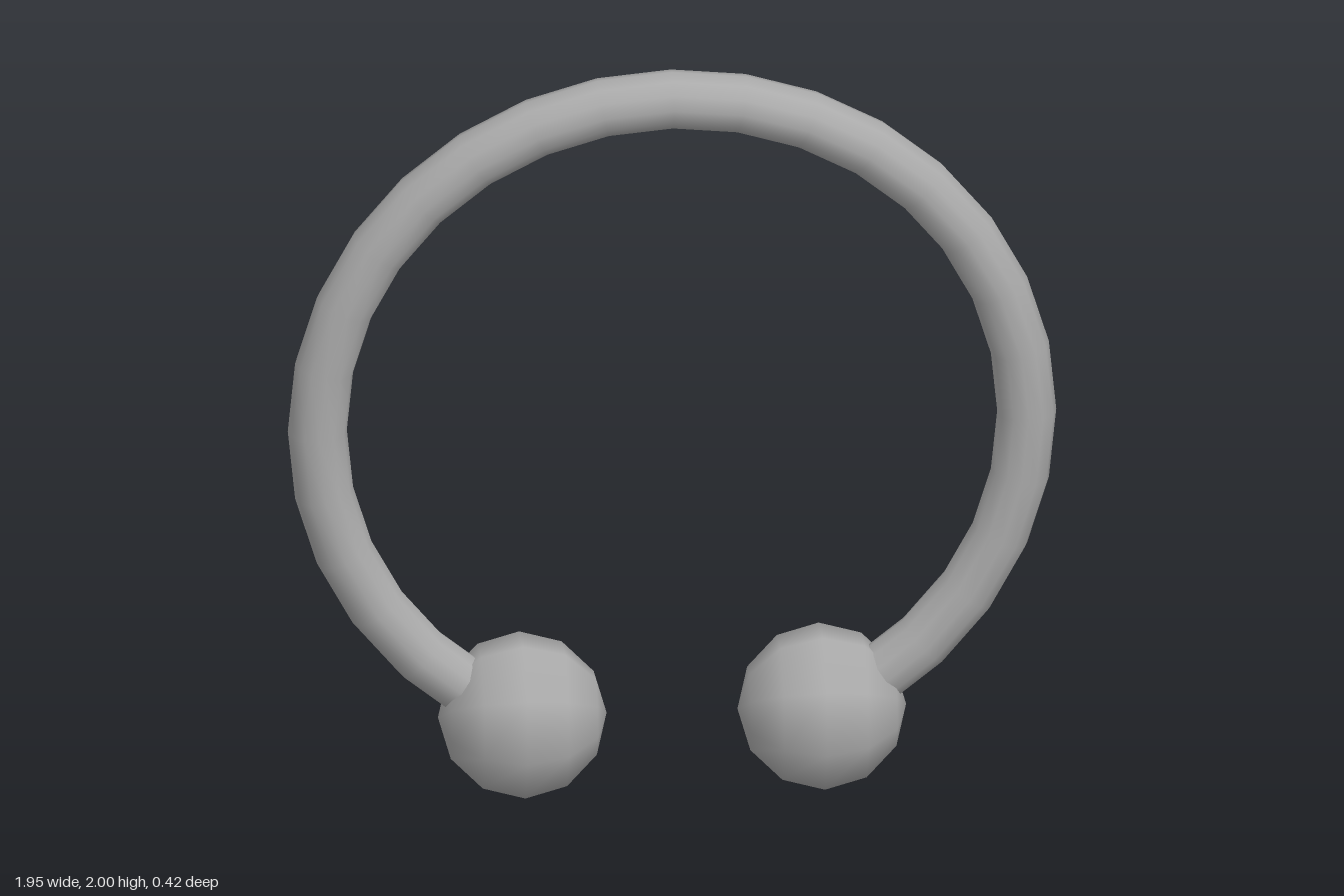
import * as THREE from 'three';

export function createModel() {
  const group = new THREE.Group();
  group.name = 'horseshoeRing';
  const grey = new THREE.MeshStandardMaterial({ color: 0xaaaaaa });
  grey.name = 'steelGrey';
  const step = Math.PI / 16;

  // Open ring: 28 of 32 segments, the gap at the bottom
  const ringGeometry = new THREE.TorusGeometry(0.9, 0.075, 12, 28, 28 * step);
  ringGeometry.rotateZ(-6 * step);
  const ring = new THREE.Mesh(ringGeometry, grey);
  ring.name = 'ring';
  ring.position.y = 1.025;
  group.add(ring);

  // Low-poly balls with poles along x, covering the ring ends
  const ballGeometry = new THREE.SphereGeometry(0.214, 8, 6);
  ballGeometry.rotateZ(-Math.PI / 2).rotateX(step);
  for (const [name, side] of [['leftBall', 1], ['rightBall', -1]]) {
    const ball = new THREE.Mesh(ballGeometry, grey);
    ball.name = name;
    ball.position.set(side * 0.38, 0.21, 0);
    group.add(ball);
  }
  return group;
}
